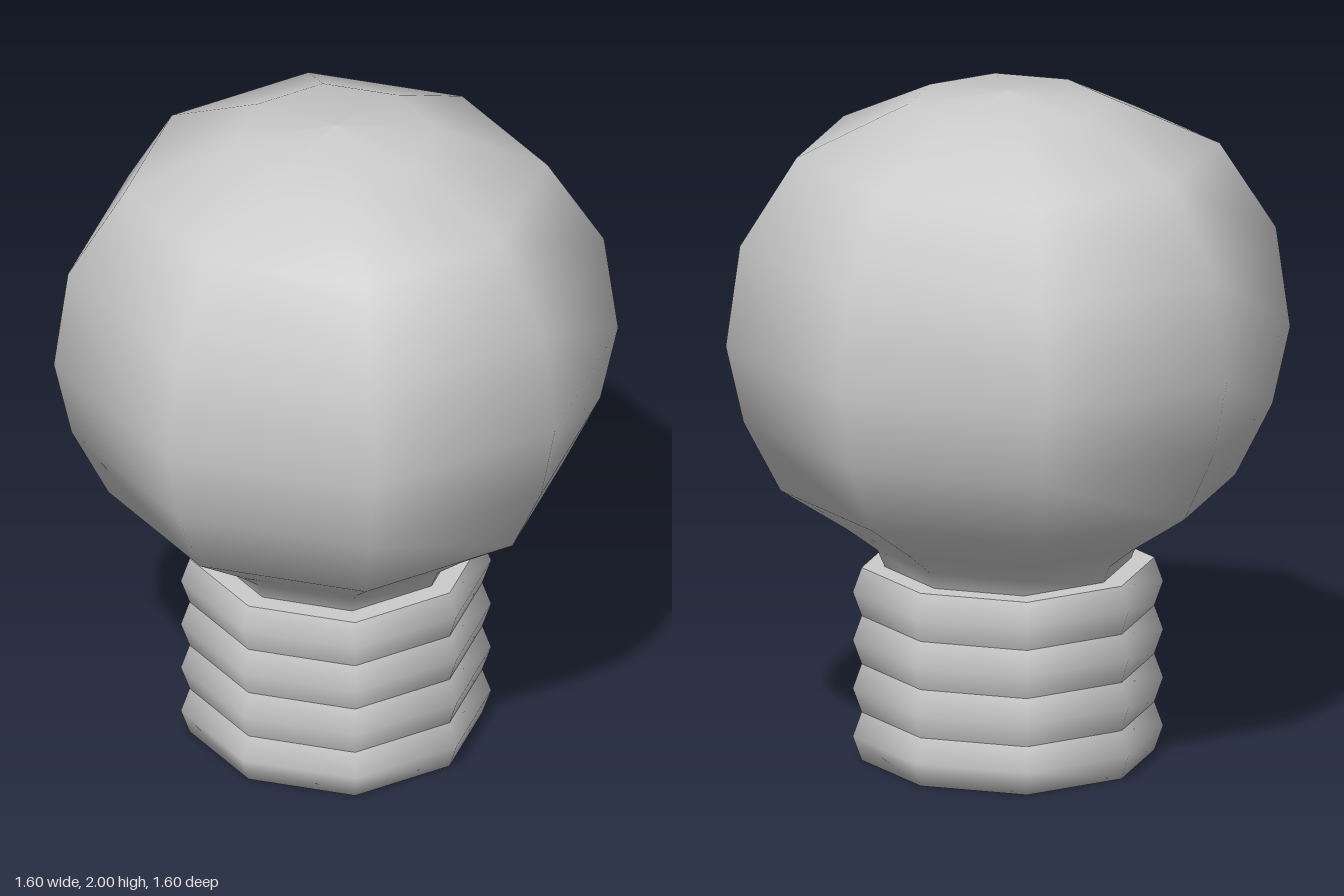
import * as THREE from 'three';

const SIDES = 8;
const DIAGONAL = 1.03; // the octagon bulges slightly at its diagonal corners

// Smooth eight-sided lathe; profile runs from bottom to top as [radius, y].
function turned(name, profile, material) {
  const points = profile.map(([r, y]) => new THREE.Vector2(r, y));
  const geometry = new THREE.LatheGeometry(points, SIDES);
  const pos = geometry.attributes.position;
  for (let i = 0; i < pos.count; i++) {
    const x = pos.getX(i), z = pos.getZ(i);
    if (Math.abs(x * z) > 1e-6) {
      pos.setX(i, x * DIAGONAL);
      pos.setZ(i, z * DIAGONAL);
    }
  }
  const mesh = new THREE.Mesh(geometry, material);
  mesh.name = name;
  return mesh;
}

export function createModel() {
  const model = new THREE.Group();
  model.name = 'lightBulb';
  const grey = new THREE.MeshStandardMaterial({ color: 0xcccccc });

  // Glass globe with its flared neck
  model.add(turned('glassGlobe', [
    [0.345, 0.57], [0.37, 0.63], [0.455, 0.695], [0.645, 0.82],
    [0.75, 1.03], [0.8, 1.26], [0.76, 1.56], [0.6, 1.82],
    [0.285, 1.97], [0, 2],
  ], grey));

  // Screw base: stacked bulging rings with sharp grooves between them
  const base = new THREE.Group();
  base.name = 'screwBase';
  const rings = 4, step = 0.145, groove = 0.415, ridge = 0.44;
  for (let i = 0; i < rings; i++) {
    const y = i * step;
    const profile = [[groove, y], [ridge, y + step / 2], [groove, y + step]];
    if (i === 0) profile.unshift([0, 0]); // closed underside
    base.add(turned(`threadRing${i + 1}`, profile, grey));
  }

  // Flat shoulder closing the base around the neck
  const top = rings * step;
  base.add(turned('baseShoulder', [[groove, top], [0, top]], grey));
  model.add(base);

  return model;
}
